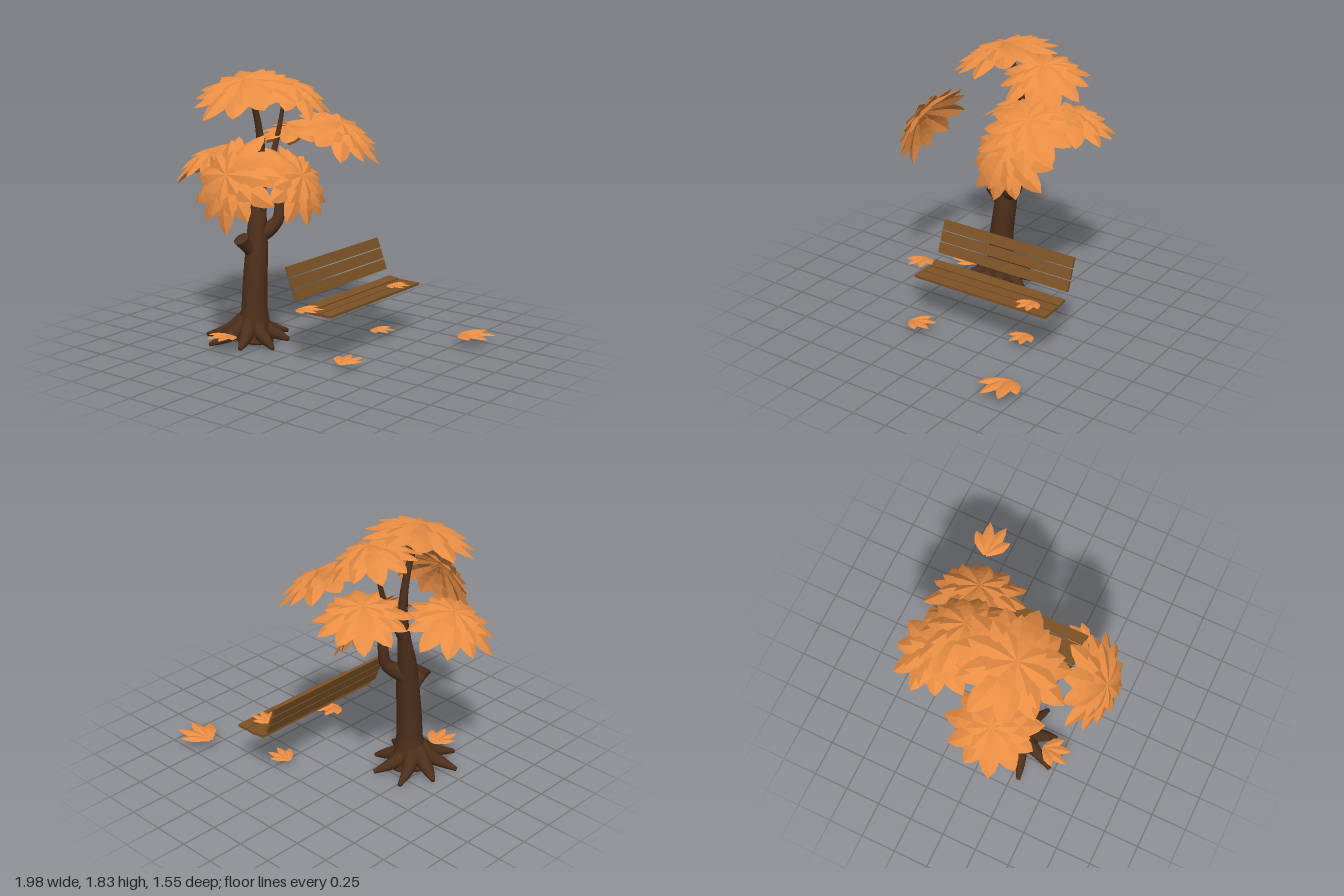
import * as THREE from 'three';

const V = (x, y, z) => new THREE.Vector3(x, y, z);
const bark = new THREE.MeshStandardMaterial({ color: 0x4d2f1b });
const wood = new THREE.MeshStandardMaterial({ color: 0x7c5226 });
const foliage = new THREE.MeshStandardMaterial({ color: 0xe88d44, flatShading: true, side: THREE.DoubleSide });

function add(parent, name, geometry, material) {
  const mesh = new THREE.Mesh(geometry, material);
  mesh.name = name;
  parent.add(mesh);
  return mesh;
}

// Tapered limb: points are [x, y, z, radius], swept with a smooth round section and closed ends
function limb(points, sides = 14, steps = 24) {
  const curve = new THREE.CatmullRomCurve3(points.map(p => V(p[0], p[1], p[2])));
  const frames = curve.computeFrenetFrames(steps, false);
  const pos = [], index = [];
  for (let i = 0; i <= steps; i++) {
    const t = i / steps, c = curve.getPoint(t);
    const f = t * (points.length - 1), k = Math.min(Math.floor(f), points.length - 2);
    const r = THREE.MathUtils.lerp(points[k][3], points[k + 1][3], f - k);
    for (let j = 0; j < sides; j++) {
      const a = j / sides * Math.PI * 2;
      const p = c.clone().addScaledVector(frames.normals[i], r * Math.cos(a))
        .addScaledVector(frames.binormals[i], r * Math.sin(a));
      pos.push(p.x, p.y, p.z);
      if (i < steps) {
        const q = i * sides + j, n = i * sides + (j + 1) % sides;
        index.push(q, n, q + sides, n, n + sides, q + sides);
      }
    }
  }
  const last = steps * sides;
  for (let j = 1; j < sides - 1; j++) index.push(0, j + 1, j, last, last + j, last + j + 1);
  const g = new THREE.BufferGeometry();
  g.setAttribute('position', new THREE.Float32BufferAttribute(pos, 3));
  g.setIndex(index);
  g.computeVertexNormals();
  return g;
}

// One pointed leaflet folded along its midrib, running from radius r0 to r1 at an angle
// height(r, t) gives the level of the midrib at radius r, t = fraction of the length
const OUTLINE = [[0, 0.35], [0.32, 0.8], [0.58, 1], [0.82, 0.6], [1, 0]];
function leaflet(out, angle, r0, r1, width, height) {
  const c = Math.cos(angle), s = Math.sin(angle);
  const rows = OUTLINE.map(([t, w]) => {
    const r = r0 + (r1 - r0) * t;
    return [-1, 0, 1].map(side => {
      const lat = side * w * width, y = height(r, t) - Math.abs(lat) * 0.35;
      return [r * c - lat * s, y, r * s + lat * c];
    });
  });
  for (let i = 0; i < rows.length - 1; i++) for (let k = 0; k < 2; k++) {
    const a = rows[i][k], b = rows[i][k + 1], d = rows[i + 1][k], e = rows[i + 1][k + 1];
    out.push(...a, ...b, ...e);
    if (i < rows.length - 2) out.push(...a, ...e, ...d);
  }
}

function leafGeometry(positions) {
  const g = new THREE.BufferGeometry();
  g.setAttribute('position', new THREE.Float32BufferAttribute(positions, 3));
  g.computeVertexNormals();
  return g;
}

// Umbrella of three shingled rings of leaflets
function canopyGeometry(R, drop, turn) {
  const out = [];
  const rings = [[11, 0.28, 1.05, 0.074, 0], [10, 0.12, 0.85, 0.07, 0.008], [8, 0, 0.58, 0.06, 0.016]];
  rings.forEach(([n, r0, r1, w, lift], ring) => {
    for (let i = 0; i < n; i++) {
      const a = turn + (i + ring * 0.5) / n * Math.PI * 2;
      const len = r1 * (1 - 0.05 * ((i * 2 + ring) % 3));
      leaflet(out, a, r0 * R, len * R, w * R / 0.36,
        (r, t) => -drop * (r / R) ** 2 + lift + (ring ? 0.024 * t : 0));
    }
  });
  return leafGeometry(out);
}

// Fallen leaf with four broad fanned lobes, gently arched
function fallenGeometry(size) {
  const out = [];
  [[-0.75, 0.78], [-0.25, 1], [0.25, 1], [0.75, 0.78]].forEach(([a, l]) =>
    leaflet(out, a, 0, l * size, 0.17 * size, (r, t) => 0.1 * size * Math.sin(t * 2.6)));
  return leafGeometry(out);
}

function buildTree() {
  const tree = new THREE.Group();
  tree.name = 'tree';
  add(tree, 'trunk', limb([
    [-0.4, 0.02, 0.17, 0.15], [-0.39, 0.09, 0.165, 0.118], [-0.385, 0.22, 0.16, 0.09],
    [-0.385, 0.42, 0.15, 0.083], [-0.39, 0.62, 0.125, 0.078], [-0.405, 0.82, 0.095, 0.063],
    [-0.415, 1.0, 0.055, 0.045], [-0.425, 1.2, 0.025, 0.032], [-0.435, 1.4, 0.03, 0.025],
    [-0.44, 1.58, 0.075, 0.02], [-0.44, 1.75, 0.16, 0.012]], 18, 50), bark);

  // Roots spread around the foot
  for (let i = 0; i < 8; i++) {
    const a = 0.2 + i / 8 * Math.PI * 2, reach = [0.3, 0.27, 0.31][i % 3];
    const at = (r, y, rad) => [-0.41 + r * Math.cos(a + r * 0.5), y, 0.18 + r * Math.sin(a + r * 0.5), rad];
    add(tree, 'root', limb([at(0.04, 0.15, 0.055), at(0.12, 0.08, 0.05),
      at(0.2, 0.05, 0.036), at(reach, 0.022, 0.014)], 10, 12), bark);
  }

  // Cut stub, crooked side branch and upper branch
  add(tree, 'branchStub', limb([[-0.4, 0.6, 0.13, 0.055], [-0.41, 0.655, 0.19, 0.046],
    [-0.415, 0.685, 0.225, 0.044], [-0.42, 0.72, 0.25, 0.054]]), bark);
  add(tree, 'sideBranch', limb([[-0.39, 0.72, 0.1, 0.06], [-0.34, 0.77, 0.03, 0.05],
    [-0.315, 0.83, -0.015, 0.04], [-0.315, 0.96, -0.04, 0.034], [-0.29, 1.06, -0.045, 0.026],
    [-0.2, 1.11, -0.045, 0.014]]), bark);
  add(tree, 'upperBranch', limb([[-0.415, 1.0, 0.055, 0.035], [-0.42, 1.17, -0.05, 0.026],
    [-0.43, 1.3, -0.13, 0.02], [-0.435, 1.48, -0.2, 0.015], [-0.41, 1.67, -0.21, 0.01]]), bark);

  // Canopies: apex, facing direction, radius, drop of the rim
  [
    ['topCanopy', V(-0.44, 1.765, 0.18), V(0, 0.96, 0.27), 0.38, 0.115],
    ['upperBackCanopy', V(-0.34, 1.71, -0.2), V(0.22, 0.95, -0.08), 0.31, 0.14],
    ['leftCanopy', V(0, 1.46, -0.29), V(0.42, 0.9, -0.08), 0.33, 0.115],
    ['rightCanopy', V(-0.74, 1.27, 0.15), V(-0.3, 0.95, 0.05), 0.31, 0.14],
    ['frontCanopy', V(-0.17, 1.24, 0.67), V(0, 0.5, 0.86), 0.33, 0.12],
    ['lowerLeftCanopy', V(-0.14, 1.13, -0.04), V(0.78, 0.58, 0), 0.31, 0.12],
    ['backCanopy', V(-0.45, 1.39, -0.37), V(-0.1, 0.95, -0.15), 0.31, 0.11],
  ].forEach(([name, apex, dir, R, drop], i) => {
    const m = add(tree, name, canopyGeometry(R, drop, i * 0.37), foliage);
    m.position.copy(apex);
    m.quaternion.setFromUnitVectors(V(0, 1, 0), dir.normalize());
  });
  return tree;
}

function buildBench() {
  const bench = new THREE.Group();
  bench.name = 'bench';
  const slat = (name, x, y, width, tilt) => {
    const m = add(bench, name, new THREE.BoxGeometry(width, 0.018, 1.02), wood);
    m.position.set(x, y, -0.17);
    m.rotation.z = tilt;
  };
  for (let i = 0; i < 3; i++) slat('backSlat', 0.042 + i * 0.028, 0.583 - i * 0.074, 0.07, -1.23);
  slat('seatSlat', 0.182, 0.351, 0.075, -0.12);
  slat('seatSlat', 0.264, 0.342, 0.072, 0);
  slat('seatSlat', 0.35, 0.342, 0.078, 0);
  return bench;
}

export function createModel() {
  const model = new THREE.Group();
  model.add(buildTree(), buildBench());

  // Fallen leaves: base x, y, z, size, heading
  [
    [0.74, 0.06, -0.64, 0.26, 0.06], [0.25, 0.35, -0.51, 0.16, 0],
    [0.46, 0.045, 0.33, 0.19, Math.PI / 2], [0.17, 0.375, 0.4, 0.18, 0.1],
    [0.18, 0.045, -0.42, 0.17, 0], [-0.41, 0.085, 0.37, 0.2, -Math.PI / 2],
  ].forEach(([x, y, z, size, heading]) => {
    const m = add(model, 'fallenLeaf', fallenGeometry(size), foliage);
    m.position.set(x, y, z);
    m.rotation.y = heading;
  });
  return model;
}
